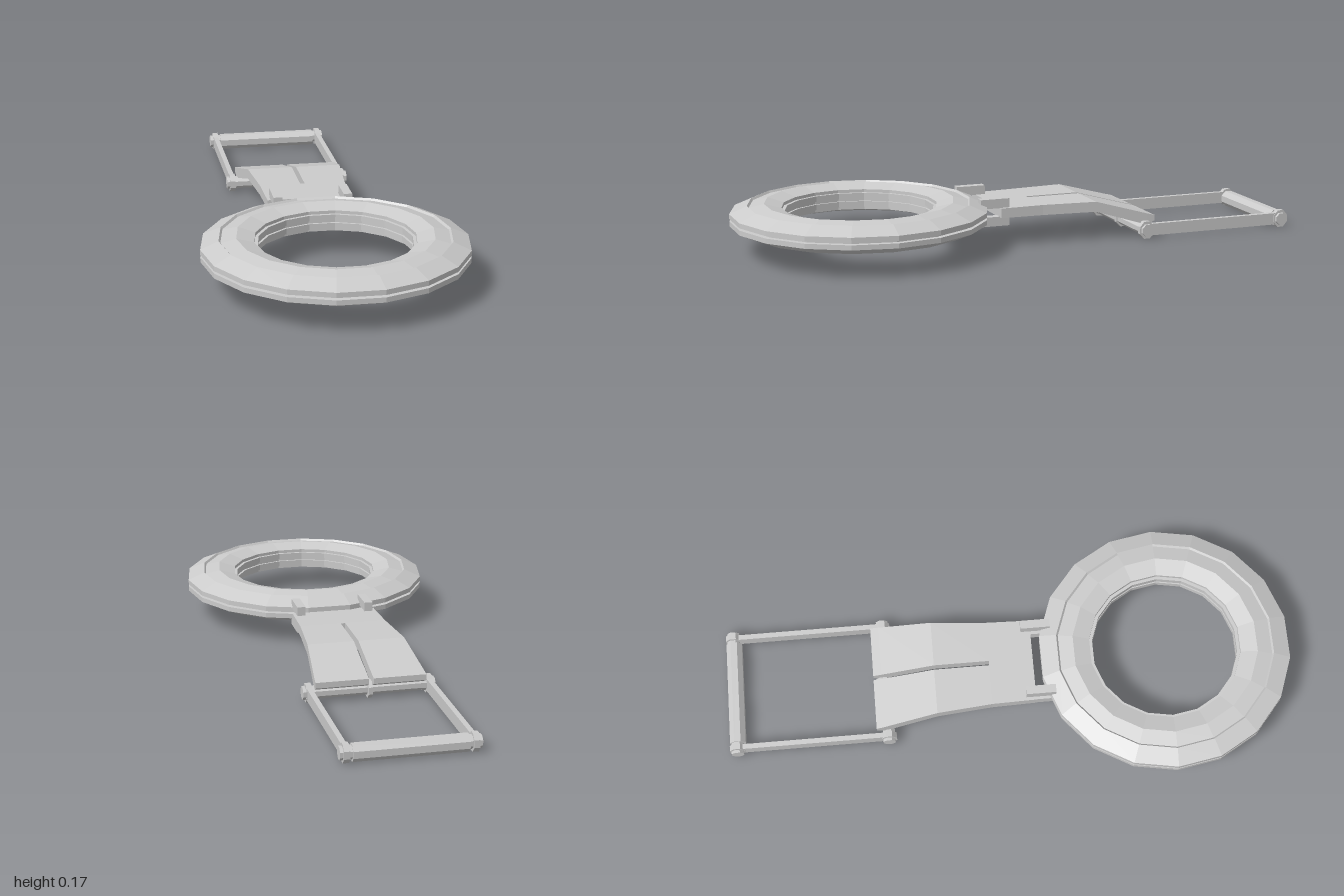
import * as THREE from 'three';

const material = new THREE.MeshStandardMaterial({ color: 0xcccccc, flatShading: true });
const CX = -0.007; // strap and buckle sit slightly off the ring's centre line

function add(parent, name, geometry, x = 0, y = 0, z = 0) {
  const mesh = new THREE.Mesh(geometry, material);
  mesh.name = name;
  mesh.position.set(x, y, z);
  parent.add(mesh);
  return mesh;
}

// Box stretched through stations [z, x0, x1, yBottom, yTop], listed from back to front
function loft(stations) {
  const n = stations.length - 1;
  const geometry = new THREE.BoxGeometry(1, 1, 1, 1, 1, n);
  const p = geometry.attributes.position;
  for (let i = 0; i < p.count; i++) {
    const [z, x0, x1, y0, y1] = stations[Math.round((p.getZ(i) + 0.5) * n)];
    p.setXYZ(i, p.getX(i) < 0 ? x0 : x1, p.getY(i) < 0 ? y0 : y1, z);
  }
  geometry.computeVertexNormals();
  return geometry;
}

// Eight-sided rod along x with flat sides up and down
function rod(radius, length) {
  return new THREE.CylinderGeometry(radius, radius, length, 8)
    .rotateY(Math.PI / 8).rotateZ(Math.PI / 2);
}

export function createModel() {
  const group = new THREE.Group();
  group.name = 'ringWithStrap';

  // Ring: half profile from the rim groove over the top to the bore, mirrored below
  const upper = [
    [0.425, 0.004], [0.445, 0.004], [0.445, 0.021], [0.385, 0.047], [0.379, 0.040],
    [0.327, 0.052], [0.268, 0.036], [0.268, 0.025], [0.257, 0.025], [0.257, 0.005], [0.265, 0.005],
  ];
  const lower = upper.map(([r, y]) => [r, -y]).reverse();
  const profile = [...upper, ...lower, upper[0]].map(([r, y]) => new THREE.Vector2(r, y));
  add(group, 'ring', new THREE.LatheGeometry(profile, 18, Math.PI / 2), 0, 0.124, 0.558);

  // Strap: a solid tongue and two bent, widening halves divided by a slit
  const strap = new THREE.Group();
  strap.name = 'strap';
  strap.position.x = CX;
  group.add(strap);
  add(strap, 'strapTongue', loft([
    [-0.065, -0.153, 0.153, 0.104, 0.14],
    [0.09, -0.149, 0.149, 0.104, 0.138],
  ]));
  for (const s of [-1, 1]) {
    const half = [
      [-0.478, 0.19, 0.06, 0.08], [-0.45, 0.188, 0.046, 0.087],
      [-0.26, 0.17, 0.104, 0.14], [-0.065, 0.153, 0.104, 0.14],
    ].map(([z, w, y0, y1]) => [z, s < 0 ? -w : 0.008, s < 0 ? -0.008 : w, y0, y1]);
    add(strap, s < 0 ? 'rightStrapHalf' : 'leftStrapHalf', loft(half));

    // Prongs clamping the ring above and below the tongue
    for (const [name, y] of [['upperProng', 0.154], ['lowerProng', 0.091]]) {
      add(strap, name, new THREE.BoxGeometry(0.03, 0.033, 0.105), s * 0.123, y, 0.108);
    }
  }

  // Buckle frame: two cross rods, side arms and stepped end caps
  const buckle = new THREE.Group();
  buckle.name = 'buckle';
  buckle.position.set(CX, 0.033, 0);
  group.add(buckle);
  add(buckle, 'hingeRod', rod(0.022, 0.4), 0, 0, -0.437);
  add(buckle, 'hingeCollar', rod(0.032, 0.014), 0, 0, -0.442);
  add(buckle, 'rearRod', rod(0.03, 0.374), 0, -0.002, -0.971);
  add(buckle, 'rearPin', rod(0.018, 0.41), 0, 0, -0.973);
  for (const s of [-1, 1]) {
    add(buckle, 'sideArm', new THREE.BoxGeometry(0.018, 0.042, 0.536), s * 0.206, 0, -0.705);
    for (const z of [-0.437, -0.973]) {
      add(buckle, 'endCap', rod(0.029, 0.02), s * 0.207, 0, z).scale.y = 1.15;
      add(buckle, 'pinHead', rod(0.023, 0.045), s * 0.205, 0, z);
    }
  }
  return group;
}
